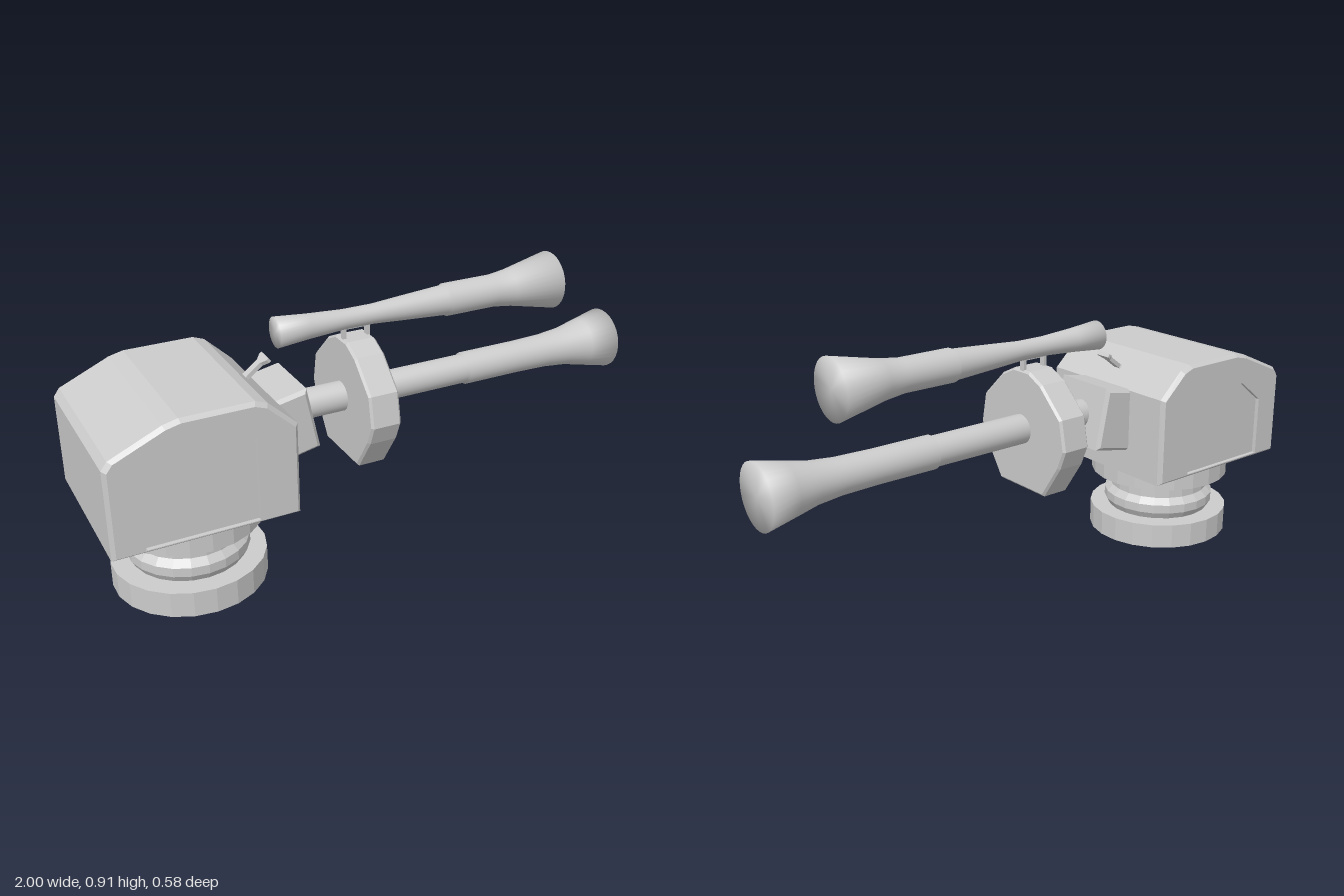
import * as THREE from 'three';

const mat = new THREE.MeshStandardMaterial({ color: 0xcccccc, side: THREE.DoubleSide });
const flat = new THREE.MeshStandardMaterial({ color: 0xcccccc, side: THREE.DoubleSide, flatShading: true });

const toShape = (pts) => new THREE.Shape(pts.map(([x, y]) => new THREE.Vector2(x, y)));

function add(parent, name, geometry, material = flat) {
  const mesh = new THREE.Mesh(geometry, material);
  mesh.name = name;
  parent.add(mesh);
  return mesh;
}

function prism(shape, z0, z1) {
  const g = new THREE.ExtrudeGeometry(shape, { depth: z1 - z0, bevelEnabled: false });
  return g.translate(0, 0, z0);
}

// Prism with a small single-step bevel that stays within the outline
function beveled(pts, depth, b) {
  const g = new THREE.ExtrudeGeometry(toShape(pts), {
    depth: depth - 2 * b, bevelEnabled: true, bevelSegments: 1,
    bevelSize: b, bevelThickness: b, bevelOffset: -b,
  });
  return g.translate(0, 0, b - depth / 2);
}

// Loop of quads joining two outlines at different z
function strip(a, za, c, zc) {
  const pos = [];
  a.forEach((p, i) => {
    const j = (i + 1) % a.length;
    const A = [...p, za], B = [...a[j], za], C = [...c[j], zc], D = [...c[i], zc];
    pos.push(...A, ...B, ...C, ...A, ...C, ...D);
  });
  const g = new THREE.BufferGeometry();
  g.setAttribute('position', new THREE.Float32BufferAttribute(pos, 3));
  g.computeVertexNormals();
  return g;
}

// Barrel turned around the x axis from [x, radius] pairs
function barrel(profile, y) {
  const g = new THREE.LatheGeometry(profile.map(([x, r]) => new THREE.Vector2(r, x)), 32);
  return g.rotateZ(-Math.PI / 2).translate(0, y, 0);
}

export function createModel() {
  const model = new THREE.Group();
  model.name = 'turret';

  // Pedestal: base, ribbed neck and collar
  const profile = [[0, 0], [0.262, 0], [0.262, 0.09], [0.193, 0.09], [0.207, 0.115], [0.207, 0.147],
    [0.185, 0.17], [0.185, 0.23], [0.259, 0.23], [0.259, 0.31], [0, 0.31]];
  const pedestal = new THREE.LatheGeometry(profile.map(([r, y]) => new THREE.Vector2(r, y)), 22);
  add(model, 'pedestal', pedestal.translate(-0.677, 0, 0));

  // Housing with beveled rims and a recessed panel on each side
  const housing = new THREE.Group();
  housing.name = 'housing';
  model.add(housing);
  const outline = [[-1, 0.303], [-0.385, 0.303], [-0.385, 0.62], [-0.48, 0.71], [-0.52, 0.725],
    [-0.76, 0.725], [-0.81, 0.713], [-0.98, 0.637], [-1, 0.61]];
  const inset = outline.map(([x, y]) => [-0.6925 + (x + 0.6925) * 0.96, 0.514 + (y - 0.514) * 0.945]);
  const panel = [[-0.895, 0.318], [-0.895, 0.53], [-0.795, 0.61], [-0.525, 0.61], [-0.525, 0.318]];
  add(housing, 'housingCore', prism(toShape(outline), -0.275, 0.275));
  const frame = toShape(inset);
  frame.holes.push(toShape(panel));
  for (const s of [-1, 1]) {
    add(housing, 'sideFrame', prism(frame, s > 0 ? 0.274 : -0.29, s > 0 ? 0.29 : -0.274));
    add(housing, 'rimBevel', s > 0
      ? strip(outline, 0.275, inset, 0.29)
      : strip(inset, -0.29, outline, -0.275));
  }

  // Tilted gun mount
  add(model, 'gunMount', beveled(
    [[-0.43, 0.385], [-0.235, 0.425], [-0.28, 0.645], [-0.43, 0.615]], 0.25, 0.012));

  // Main barrel
  add(model, 'mainBarrel', barrel([[-0.3, 0], [-0.3, 0.052], [0.38, 0.052], [0.385, 0.058], [0.6, 0.058],
    [0.73, 0.061], [0.82, 0.07], [0.9, 0.088], [1, 0.11], [1, 0]], 0.53), mat);

  // Many-sided shield disc, mirrored half outline in z and y
  const half = [[0.118, 0.313], [0.2, 0.435], [0.228, 0.503], [0.207, 0.61], [0.105, 0.708], [0.04, 0.74]];
  const disc = [...half, ...half.map(([z, y]) => [-z, y]).reverse()];
  add(model, 'shieldDisc', beveled(disc, 0.11, 0.008).rotateY(Math.PI / 2).translate(-0.045, 0, 0));

  // Upper barrel, flared at both ends
  add(model, 'upperBarrel', barrel([[-0.333, 0], [-0.333, 0.052], [-0.22, 0.042], [-0.09, 0.034],
    [0.02, 0.034], [0.12, 0.041], [0.29, 0.052], [0.3, 0.057], [0.49, 0.057], [0.56, 0.066],
    [0.735, 0.103], [0.735, 0]], 0.807), mat);

  // Bracket joining the upper barrel to the disc
  for (const x of [-0.088, 0]) {
    add(model, 'bracketPost', new THREE.BoxGeometry(0.012, 0.06, 0.02).translate(x, 0.755, 0));
  }
  add(model, 'bracketBar', new THREE.BoxGeometry(0.1, 0.01, 0.02).translate(-0.044, 0.777, 0));

  // Small waisted sight plate rising from the front slope
  const sight = toShape([[-0.055, -0.028], [-0.03, -0.014], [0.03, -0.014], [0.05, -0.03], [0.06, -0.03],
    [0.06, 0.03], [0.05, 0.03], [0.03, 0.014], [-0.03, 0.014], [-0.055, 0.028]]);
  const plate = add(model, 'sight', prism(sight, -0.007, 0.007).rotateX(Math.PI / 2));
  plate.position.set(-0.415, 0.695, 0);
  plate.rotation.z = 0.65;

  return model;
}
